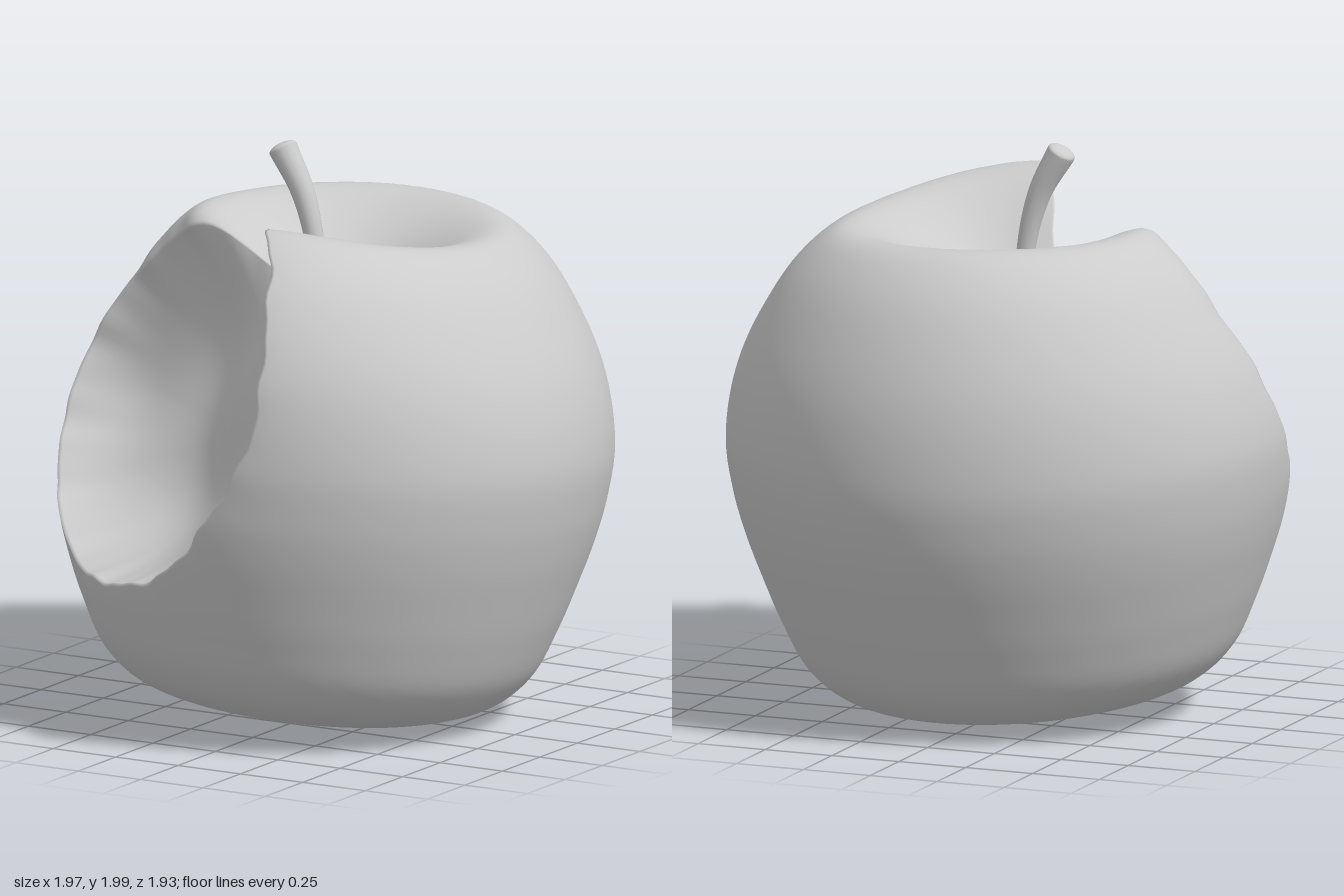
import * as THREE from 'three';

const CENTRE = new THREE.Vector3(0, 0.9, 0);
const TILT = new THREE.Vector3(0.03, 1, -0.065).normalize();   // core axis of the fruit
const BITE = new THREE.Vector3(-0.56, 0.353, 0.75).normalize(); // direction the bite faces
const RIGHT = new THREE.Vector3(0, 1, 0).cross(BITE).normalize();
const UP = BITE.clone().cross(RIGHT);

// Half profile of the fruit (radius, height), turned into distance by angle from the core axis
const profile = new THREE.SplineCurve([
  [0, 1.45], [0.1, 1.5], [0.22, 1.575], [0.34, 1.66], [0.46, 1.725], [0.56, 1.742], [0.66, 1.69],
  [0.77, 1.575], [0.885, 1.38], [0.95, 1.2], [0.98, 1.0], [0.965, 0.83], [0.93, 0.68], [0.88, 0.53],
  [0.82, 0.37], [0.74, 0.205], [0.61, 0.095], [0.4, 0.04], [0.25, 0.065], [0.1, 0.12], [0, 0.135],
].map(([x, y]) => new THREE.Vector2(x, y - CENTRE.y)));
const polar = profile.getPoints(500).map(p => [Math.atan2(Math.max(p.x, 0), p.y), p.length()]);

function fruitRadius(dir) {
  const a = dir.angleTo(TILT);
  let k = 1;
  while (k < polar.length - 1 && polar[k][0] < a) k++;
  const [a0, r0] = polar[k - 1], [a1, r1] = polar[k];
  const t = a1 === a0 ? 0 : THREE.MathUtils.clamp((a - a0) / (a1 - a0), 0, 1);
  // saddle-shaped top, fuller front shoulder, and a base that hangs lower on one side
  const y2 = dir.y * dir.y, top = dir.y > 0 ? y2 : 0, base = y2 - top;
  const uneven = 1 + (dir.z * dir.z - dir.x * dir.x) * (0.12 * top - 0.006)
    + 0.3 * top * Math.pow(Math.max(dir.z, 0), 3) + 0.04 * dir.x * base;
  return (r0 + (r1 - r0) * t) * uneven;
}

// Angular size of the bite, in degrees, every 30 degrees around its axis
const rim = new THREE.CatmullRomCurve3(
  [48.5, 49, 49.5, 55, 49, 48.5, 48, 43, 40.5, 42, 45, 46.5].map(v => new THREE.Vector3(v, 0, 0)), true);

// Edge of the bite: a smooth outline plus a share of ragged tooth cuts
function rimAngle(phi, share) {
  const ragged = 0.4 * Math.sin(phi * 7 + 1) + 0.35 * Math.sin(phi * 17) + 0.2 * Math.sin(phi * 31 + 2);
  return THREE.MathUtils.degToRad(rim.getPoint(phi / (Math.PI * 2)).x + ragged * share);
}

// How far the skin sinks at the edge, most along the upper side
const lip = phi => 0.01 + 0.07 * Math.exp(-Math.pow((phi - 2.2) / 0.5, 2));

// Point given by height along the bite axis, distance from it and angle around it
function aroundBite(height, dist, phi) {
  return BITE.clone().multiplyScalar(height)
    .addScaledVector(RIGHT, dist * Math.cos(phi))
    .addScaledVector(UP, dist * Math.sin(phi));
}
const direction = (theta, phi) => aroundBite(Math.cos(theta), Math.sin(theta), phi);

// Skin and bitten flesh in one closed surface, in rings around the bite axis
function bittenFruit() {
  const SEG = 160, INNER = 36, OUTER = 80, FLOOR = 0.385;
  const position = [], index = [];
  for (let i = 0; i <= INNER + OUTER; i++) {
    for (let j = 0; j < SEG; j++) {
      const phi = j / SEG * Math.PI * 2;
      let p;
      if (i <= INNER) {
        // rounded bowl with soft tooth marks, ragged only toward its edge
        const t = 1 - Math.pow(1 - i / INNER, 1.3);
        const edge = rimAngle(phi, Math.pow(t, 8));
        const edgeR = fruitRadius(direction(edge, phi)) - lip(phi);
        const dist = edgeR * Math.sin(edge) * t;
        const a = dist * Math.cos(phi), b = dist * Math.sin(phi);
        const marks = 0.011 * (1 - Math.pow(t, 4)) * (Math.sin(11 * a + 4 * b) + Math.sin(9 * b - 6 * a + 1));
        p = aroundBite(THREE.MathUtils.lerp(FLOOR, edgeR * Math.cos(edge), Math.pow(t, 3.3)) + marks, dist, phi);
      } else {
        // skin, curling inward next to the bite
        const edge = rimAngle(phi, 1);
        const theta = edge + (Math.PI - edge) * Math.pow((i - INNER) / OUTER, 1.25);
        const dir = direction(theta, phi);
        p = dir.multiplyScalar(fruitRadius(dir) - lip(phi) * Math.exp(-(theta - edge) / 0.07));
      }
      p.add(CENTRE);
      position.push(p.x, Math.max(p.y, 0), p.z);
      if (i < INNER + OUTER) {
        const a = i * SEG + j, d = i * SEG + (j + 1) % SEG;
        if (i > 0) index.push(a, d + SEG, d);
        index.push(a, a + SEG, d + SEG);
      }
    }
  }
  const geo = new THREE.BufferGeometry();
  geo.setAttribute('position', new THREE.Float32BufferAttribute(position, 3));
  geo.setIndex(index);
  geo.computeVertexNormals();
  // the two end rings are single points: give each one shared normal
  const normal = geo.attributes.normal, last = (INNER + OUTER) * SEG;
  for (let j = 0; j < SEG; j++) {
    normal.setXYZ(j, BITE.x, BITE.y, BITE.z);
    normal.setXYZ(last + j, -BITE.x, -BITE.y, -BITE.z);
  }
  return geo;
}

export function createModel() {
  const group = new THREE.Group();
  const material = new THREE.MeshStandardMaterial({ color: 0xcccccc });
  const add = (name, geo) => {
    const mesh = new THREE.Mesh(geo, material);
    mesh.name = name;
    group.add(mesh);
    return mesh;
  };

  add('bittenFruit', bittenFruit());

  // Curved stem, widening toward its tip
  const path = new THREE.CatmullRomCurve3([
    [-0.04, 1.4], [-0.05, 1.63], [-0.1, 1.82], [-0.18, 1.965],
  ].map(([x, y]) => new THREE.Vector3(x, y, 0)));
  const ROWS = 20, SIDES = 14;
  const tube = new THREE.TubeGeometry(path, ROWS, 1, SIDES);
  const pos = tube.attributes.position, v = new THREE.Vector3();
  for (let k = 0; k < pos.count; k++) {
    const u = Math.floor(k / (SIDES + 1)) / ROWS, c = path.getPointAt(u);
    v.fromBufferAttribute(pos, k).sub(c).multiplyScalar(0.03 + 0.021 * u * u).add(c);
    pos.setXYZ(k, v.x, v.y, v.z);
  }
  add('stem', tube);

  // Slightly domed cut end of the stem
  const tip = add('stemTip', new THREE.SphereGeometry(0.051, SIDES, 5, 0, Math.PI * 2, 0, Math.PI / 2));
  tip.scale.y = 0.4;
  tip.position.copy(path.getPointAt(1));
  tip.quaternion.setFromUnitVectors(new THREE.Vector3(0, 1, 0), path.getTangentAt(1));
  return group;
}
